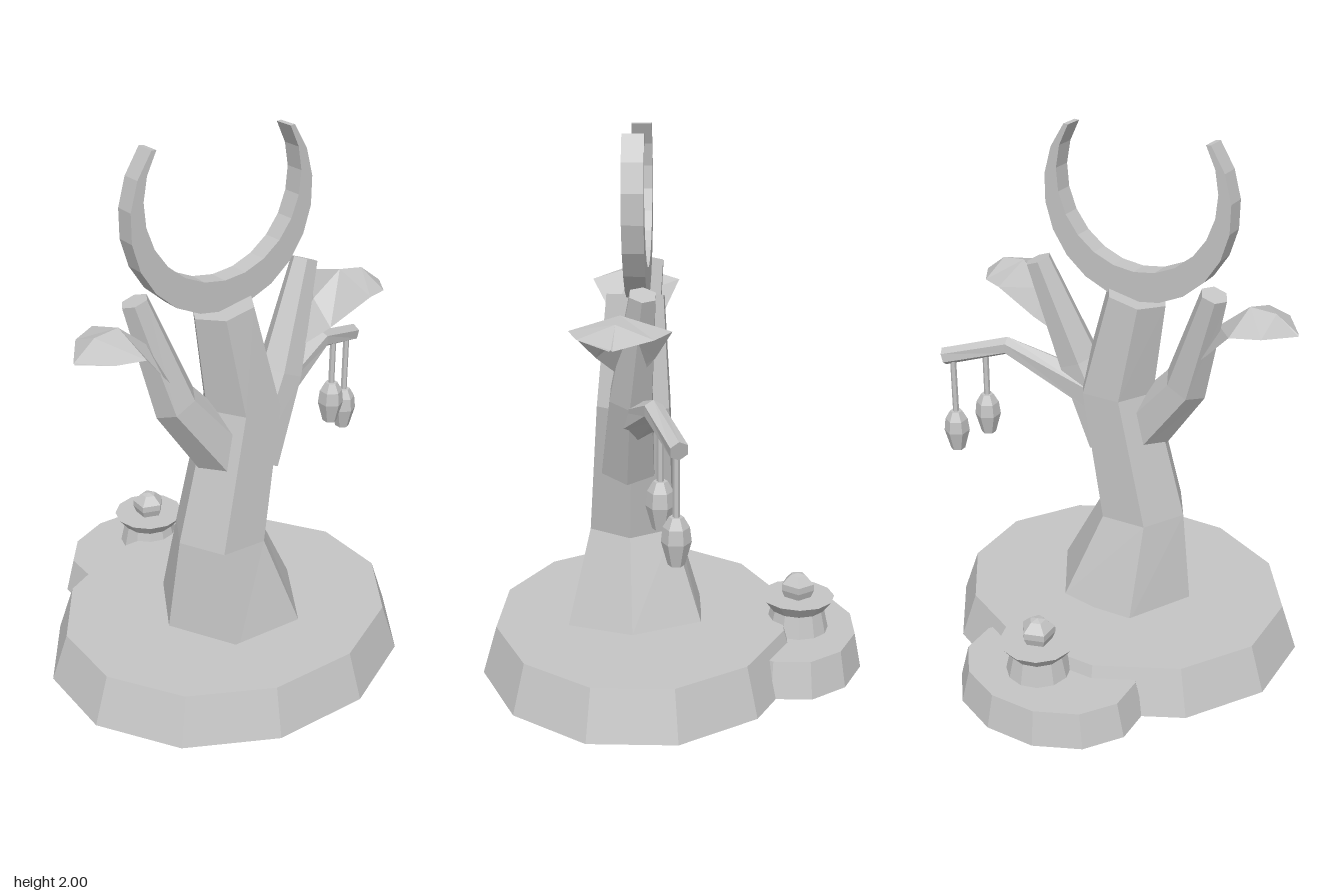
import * as THREE from 'three';

const MID = -0.025; // mirror axis of the leaves
const stone = new THREE.MeshStandardMaterial({ color: 0xc4c4c4, flatShading: true, side: THREE.DoubleSide });
stone.name = 'stone grey';

function add(parent, name, geometry, x = 0, y = 0, z = 0) {
  const mesh = new THREE.Mesh(geometry, stone);
  mesh.name = name;
  mesh.position.set(x, y, z);
  parent.add(mesh);
  return mesh;
}

function lathe(profile, sides, start = 0) {
  return new THREE.LatheGeometry(profile.map(([r, y]) => new THREE.Vector2(r, y)), sides, start);
}

function meshFrom(vertices, index) {
  const g = new THREE.BufferGeometry();
  g.setAttribute('position', new THREE.Float32BufferAttribute(vertices, 3));
  g.setIndex(index);
  g.computeVertexNormals();
  return g;
}

// Tapered limb through [x, y, z, radius] stations, closed at both ends
function limb(stations, sides = 6) {
  const c = stations.map(([x, y, z]) => new THREE.Vector3(x, y, z));
  const v = [], index = [], last = c.length - 1;
  c.forEach((p, j) => {
    const t = new THREE.Vector3();
    if (j > 0) t.add(p.clone().sub(c[j - 1]).normalize());
    if (j < last) t.add(c[j + 1].clone().sub(p).normalize());
    t.normalize();
    const b = new THREE.Vector3(0, 0, 1).addScaledVector(t, -t.z).normalize();
    const n = new THREE.Vector3().crossVectors(t, b);
    for (let i = 0; i < sides; i++) {
      const a = i / sides * Math.PI * 2, r = stations[j][3];
      v.push(...p.clone().addScaledVector(n, r * Math.cos(a)).addScaledVector(b, r * Math.sin(a)).toArray());
    }
  });
  v.push(...c[0].toArray(), ...c[last].toArray());
  const bottom = c.length * sides, top = bottom + 1;
  for (let i = 0; i < sides; i++) {
    const k = (i + 1) % sides;
    for (let j = 0; j < last; j++) {
      const a = j * sides + i, b = j * sides + k;
      index.push(a, a + sides, b, b, a + sides, b + sides);
    }
    index.push(bottom, i, k, top, last * sides + k, last * sides + i);
  }
  return meshFrom(v, index);
}

// Drooping leaf with a raised ridge: [x, ridge y, edge y, half width]
function leaf(side) {
  const sections = [
    [-0.28, 1.19, 1.17, 0.02], [-0.38, 1.35, 1.27, 0.1], [-0.49, 1.44, 1.387, 0.17],
    [-0.585, 1.43, 1.38, 0.125], [-0.667, 1.367, 1.362, 0.005],
  ];
  const v = [], index = [];
  sections.forEach(([x, ridge, edge, w], j) => {
    const px = MID + side * (x - MID), z = 0.14 + j * 0.009;
    v.push(px, edge, z - w, px, ridge, z, px, edge, z + w);
    if (j === 0) return;
    for (let i = 0; i < 2; i++) {
      const a = (j - 1) * 3 + i, b = a + 3;
      if (side > 0) index.push(a, a + 1, b, b, a + 1, b + 1);
      else index.push(a, b, a + 1, b, b + 1, a + 1);
    }
  });
  return meshFrom(v, index);
}

// Upward-opening crescent between two offset arcs
function crescent() {
  const N = 16, outer = [], inner = [];
  const arc = (list, cy, r, tip) => {
    for (let i = 0; i <= N; i++) {
      const a = Math.PI - tip + (Math.PI + 2 * tip) * i / N;
      list.push(new THREE.Vector2(-0.07 + r * Math.cos(a), cy + r * Math.sin(a)));
    }
  };
  arc(outer, 1.765, 0.366, 0.695);
  arc(inner, 1.825, 0.315, 0.58);
  const shape = new THREE.Shape([...outer, ...inner.reverse()]);
  return new THREE.ExtrudeGeometry(shape, { depth: 0.075, bevelEnabled: false });
}

export function createModel() {
  const model = new THREE.Group();
  model.name = 'crescentTree';

  // Open-bottomed stepped plinths
  const flat = Math.PI / 12;
  add(model, 'mainPlinth', lathe([[0.704, 0], [0.642, 0.18], [0, 0.18]], 12, flat), -0.03, 0, 0.12).scale.z = 0.868;
  add(model, 'rearPlinth', lathe([[0.3675, 0], [0.334, 0.133], [0, 0.133]], 12, flat), -0.028, 0, -0.44).scale.z = 0.78;

  // Small pedestal with a knob on the rear plinth
  const pedestal = new THREE.Group();
  pedestal.name = 'pedestal';
  pedestal.position.set(0, 0, -0.475);
  add(pedestal, 'pedestalBody', lathe([[0.12, 0.13], [0.1, 0.22]], 12));
  add(pedestal, 'pedestalDish', lathe([[0, 0.217], [0.105, 0.217], [0.14, 0.262], [0, 0.262]], 12));
  add(pedestal, 'pedestalKnob',
    lathe([[0.05, 0.255], [0.064, 0.29], [0.064, 0.315], [0.03, 0.347], [0, 0.354]], 5, Math.PI / 2));
  model.add(pedestal);

  // Trunk and boughs
  add(model, 'trunk', limb([
    [-0.03, 0.168, 0.14, 0.287], [-0.085, 0.53, 0.155, 0.178],
    [0.02, 1.03, 0.14, 0.15], [-0.06, 1.41, 0.135, 0.118],
  ]));
  add(model, 'rightBough', limb([[-0.06, 0.84, 0.16, 0.11], [-0.265, 1.1, 0.14, 0.085], [-0.385, 1.485, 0.09, 0.05]]));
  add(model, 'leftBough', limb([[0.05, 0.8, 0.16, 0.11], [0.19, 1.1, 0.14, 0.085], [0.33, 1.485, 0.09, 0.05]]));
  add(model, 'lanternBranch', limb([[0.12, 0.98, 0.13, 0.075], [0.455, 1.125, 0.05, 0.036], [0.69, 1.062, -0.04, 0.034]]));

  // Leaves on the outer sides of the boughs
  add(model, 'rightLeaf', leaf(1));
  add(model, 'leftLeaf', leaf(-1));

  // Moon above the trunk
  add(model, 'crescentMoon', crescent(), 0, 0, 0.0875);

  // Hanging lanterns
  for (const [x, top, hook, z] of [[0.54, 0.91, 1.09, 0.025], [0.655, 0.83, 1.06, -0.03]]) {
    const lantern = new THREE.Group();
    lantern.name = 'lantern';
    lantern.position.set(x, top, z);
    const length = hook - top + 0.01;
    add(lantern, 'lanternCord', new THREE.CylinderGeometry(0.012, 0.012, length, 6), 0, length / 2 - 0.01, 0);
    add(lantern, 'lanternBody', lathe(
      [[0, -0.168], [0.028, -0.165], [0.05, -0.085], [0.044, -0.035], [0.024, 0], [0, 0]], 6));
    model.add(lantern);
  }
  return model;
}
